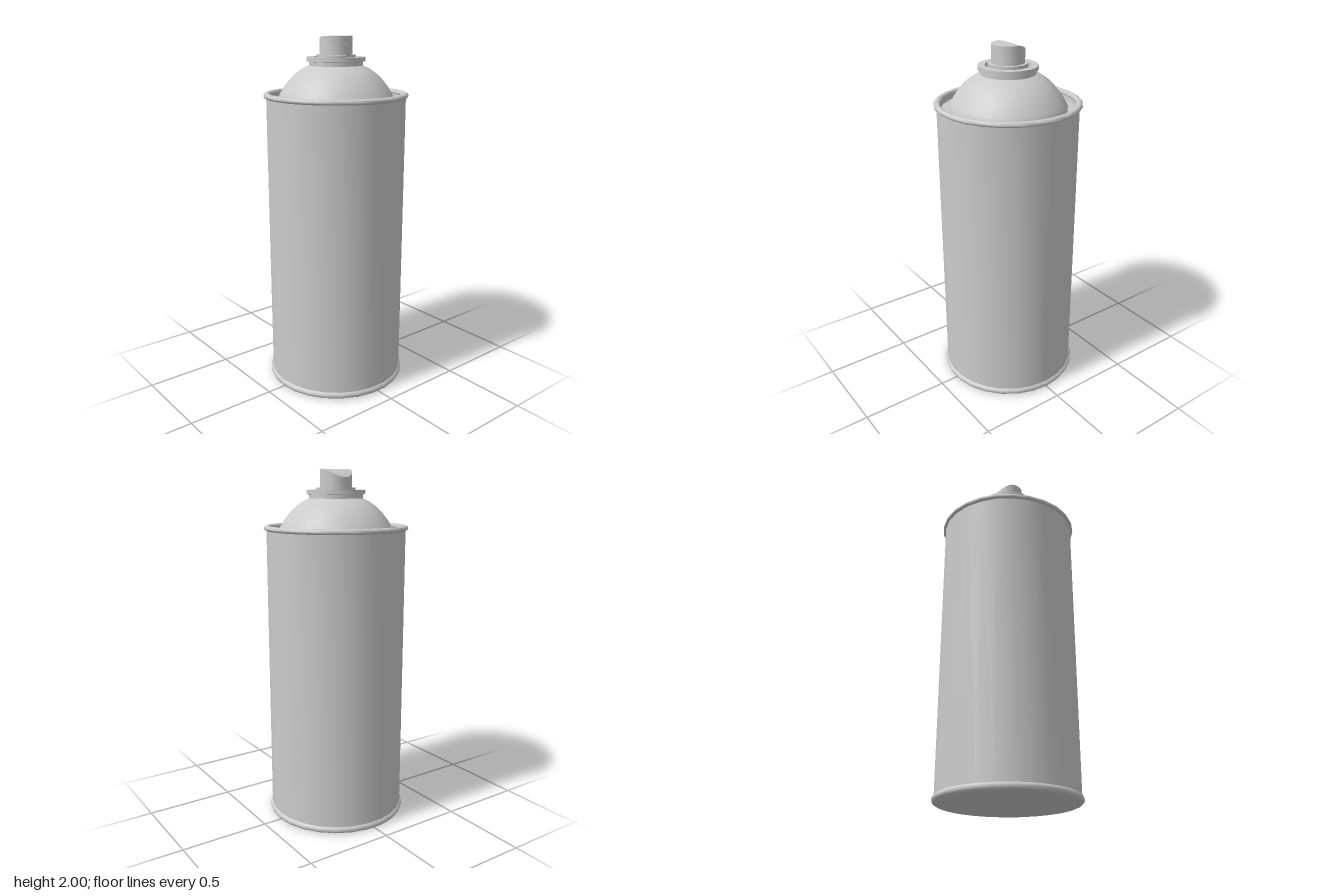
import * as THREE from 'three';
import { toCreasedNormals } from 'three/addons/utils/BufferGeometryUtils.js';

const SIDES = 26;
const material = new THREE.MeshStandardMaterial({ color: 0xcccccc });

// Turned part from [radius, height] pairs, listed so the outside faces out
function turned(name, profile, crease = 0.82) {
  const points = profile.map(([r, y]) => new THREE.Vector2(r, y));
  const geometry = new THREE.LatheGeometry(points, SIDES, Math.PI / 2);
  const mesh = new THREE.Mesh(toCreasedNormals(geometry, crease), material);
  mesh.name = name;
  return mesh;
}

// Rounded seam running around the can
function bead(name, y, radius, halfWidth, halfHeight) {
  const profile = [];
  for (let i = 0; i <= 10; i++) {
    const a = (i / 10) * Math.PI * 2 + Math.PI;
    profile.push([radius + halfWidth * Math.cos(a), y + halfHeight * Math.sin(a)]);
  }
  return turned(name, profile);
}

// Height of the button top: flat in front, falling away in a curve behind
const buttonTop = (z) => 2 - 5 * Math.max(0, 0.005 - z) ** 2;

function nozzle() {
  const rings = [[0.09, 1.88], [0.09, 2], [0.075, 2], [0.06, 2], [0.045, 2], [0.03, 2], [0.015, 2], [0, 2]];
  const geometry = new THREE.LatheGeometry(
    rings.map(([r, y]) => new THREE.Vector2(r, y)), SIDES, Math.PI / 2);
  const p = geometry.attributes.position;
  for (let i = 0; i < p.count; i++) {
    if (p.getY(i) > 1.95) p.setY(i, buttonTop(p.getZ(i)));
  }
  const button = new THREE.Mesh(toCreasedNormals(geometry, 0.6), material);
  button.name = 'sprayButton';

  // Spray opening on the front of the button
  const opening = new THREE.Mesh(new THREE.TorusGeometry(0.011, 0.003, 6, 14), material);
  opening.name = 'sprayOpening';
  opening.position.set(0, 1.955, 0.088);

  const group = new THREE.Group();
  group.name = 'nozzle';
  group.add(button, opening);
  return group;
}

export function createModel() {
  const model = new THREE.Group();
  model.name = 'sprayCan';
  model.add(
    // Straight wall
    turned('body', [[0.39, 0.02], [0.39, 1.68]]),
    // Closed base with its rounded edge
    turned('base', [[0, 0], [0.388, 0], [0.398, 0.006], [0.403, 0.018], [0.4, 0.03], [0.39, 0.038]]),
    bead('topRim', 1.681, 0.386, 0.019, 0.015),
    // Sunken channel and domed shoulder
    turned('shoulder', [
      [0.372, 1.68], [0.368, 1.65], [0.325, 1.65], [0.325, 1.665], [0.312, 1.69],
      [0.287, 1.73], [0.255, 1.769], [0.22, 1.802], [0.185, 1.826], [0.15, 1.842],
    ]),
    // Stepped valve cup with a hollow in the middle
    turned('valveCup', [
      [0.15, 1.838], [0.15, 1.863], [0.163, 1.865], [0.163, 1.888],
      [0.125, 1.888], [0.122, 1.86], [0.1, 1.86],
    ]),
    // Collar that carries the button
    turned('buttonCollar', [[0.108, 1.858], [0.108, 1.9], [0.088, 1.9]]),
    nozzle(),
  );
  return model;
}
